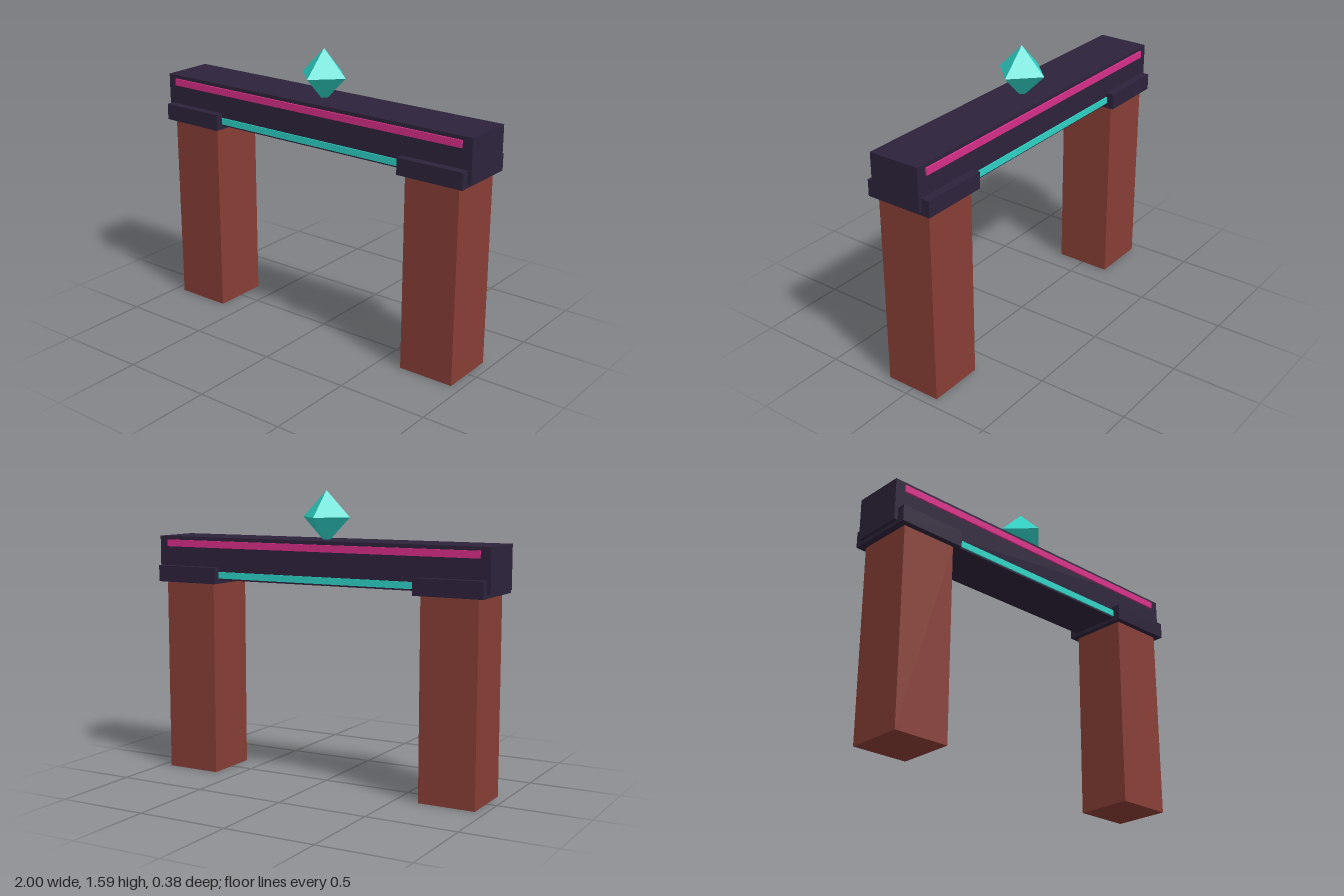
import * as THREE from 'three';

const mat = (name, color) => {
  const m = new THREE.MeshStandardMaterial({ color });
  m.name = name;
  return m;
};

export function createModel() {
  const group = new THREE.Group();
  const brick = mat('brick red', 0x883e36);
  const dark = mat('dark violet', 0x2d233b);
  const pink = mat('magenta', 0xd82e88);
  const teal = mat('turquoise', 0x2ed3c6);

  // Box from its extents in x and y, centred on z
  const box = (name, material, x0, x1, y0, y1, depth, z = 0) => {
    const mesh = new THREE.Mesh(new THREE.BoxGeometry(x1 - x0, y1 - y0, depth), material);
    mesh.position.set((x0 + x1) / 2, (y0 + y1) / 2, z);
    mesh.name = name;
    group.add(mesh);
  };

  // Lintel across the gate
  box('lintel', dark, -1, 1, 1.095, 1.33, 0.291);

  // Pillars with capitals
  for (const [side, s] of [['left', 1], ['right', -1]]) {
    const c = s * 0.7875;
    box(side + 'Pillar', brick, c - 0.157, c + 0.157, 0, 1.08, 0.317);
    const k = s * 0.79;
    box(side + 'Capital', dark, k - 0.19, k + 0.19, 1.075, 1.165, 0.382);
  }

  // Glowing strips on both faces
  for (const [face, s] of [['front', 1], ['back', -1]]) {
    box(face + 'UpperStrip', pink, -0.945, 0.945, 1.272, 1.31, 0.0098, s * 0.151);
    box(face + 'LowerStrip', teal, -0.63, 0.63, 1.104, 1.14, 0.008, s * 0.148);
  }

  // Faceted crystal on top
  const crystal = new THREE.Mesh(new THREE.OctahedronGeometry(0.143), teal);
  crystal.position.y = 1.45;
  crystal.name = 'crystal';
  group.add(crystal);

  return group;
}
